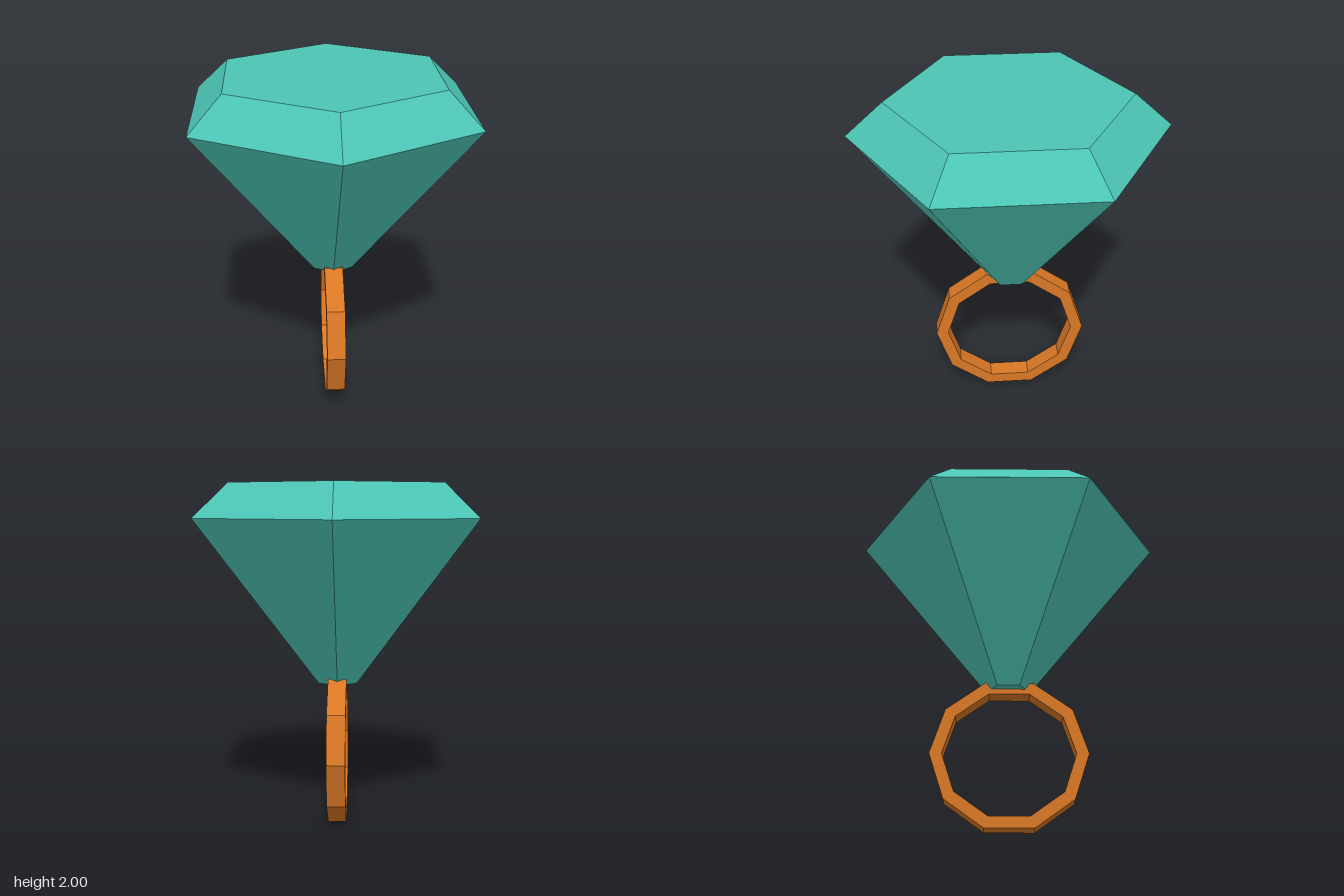
import * as THREE from 'three';

const gemTeal = new THREE.MeshStandardMaterial({ color: 0x4cc4b4 });
gemTeal.name = 'gemTeal';
const bandCopper = new THREE.MeshStandardMaterial({ color: 0xd97725 });
bandCopper.name = 'bandCopper';

// Split the faces so every facet is shaded flat
function faceted(geometry) {
  const flat = geometry.index ? geometry.toNonIndexed() : geometry;
  flat.computeVertexNormals();
  return flat;
}

function addPart(group, name, geometry, material) {
  const mesh = new THREE.Mesh(faceted(geometry), material);
  mesh.name = name;
  group.add(mesh);
  return mesh;
}

// Corners of a ten-sided ring outline
function decagon(radius) {
  return Array.from({ length: 10 }, (_, i) => {
    const a = (i / 10) * Math.PI * 2;
    return new THREE.Vector2(radius * Math.cos(a), radius * Math.sin(a));
  });
}

export function createModel() {
  const model = new THREE.Group();
  model.name = 'gemRing';

  // Six-sided gem: culet, girdle and flat table
  const profile = [[0, 0.83], [0.13, 0.83], [0.9, 1.805], [0.685, 2], [0, 2]]
    .map(([r, y]) => new THREE.Vector2(r, y));
  addPart(model, 'gem', new THREE.LatheGeometry(profile, 6), gemTeal);

  // Ten-sided band standing in the y-z plane
  const width = 0.108;
  const outline = new THREE.Shape(decagon(0.456));
  outline.holes.push(new THREE.Path(decagon(0.384)));
  const bandGeometry = new THREE.ExtrudeGeometry(outline, { depth: width, bevelEnabled: false });
  bandGeometry.translate(0, 0, -width / 2).rotateY(Math.PI / 2);
  const band = addPart(model, 'band', bandGeometry, bandCopper);
  band.position.set(0, 0.434, 0.005);

  return model;
}
